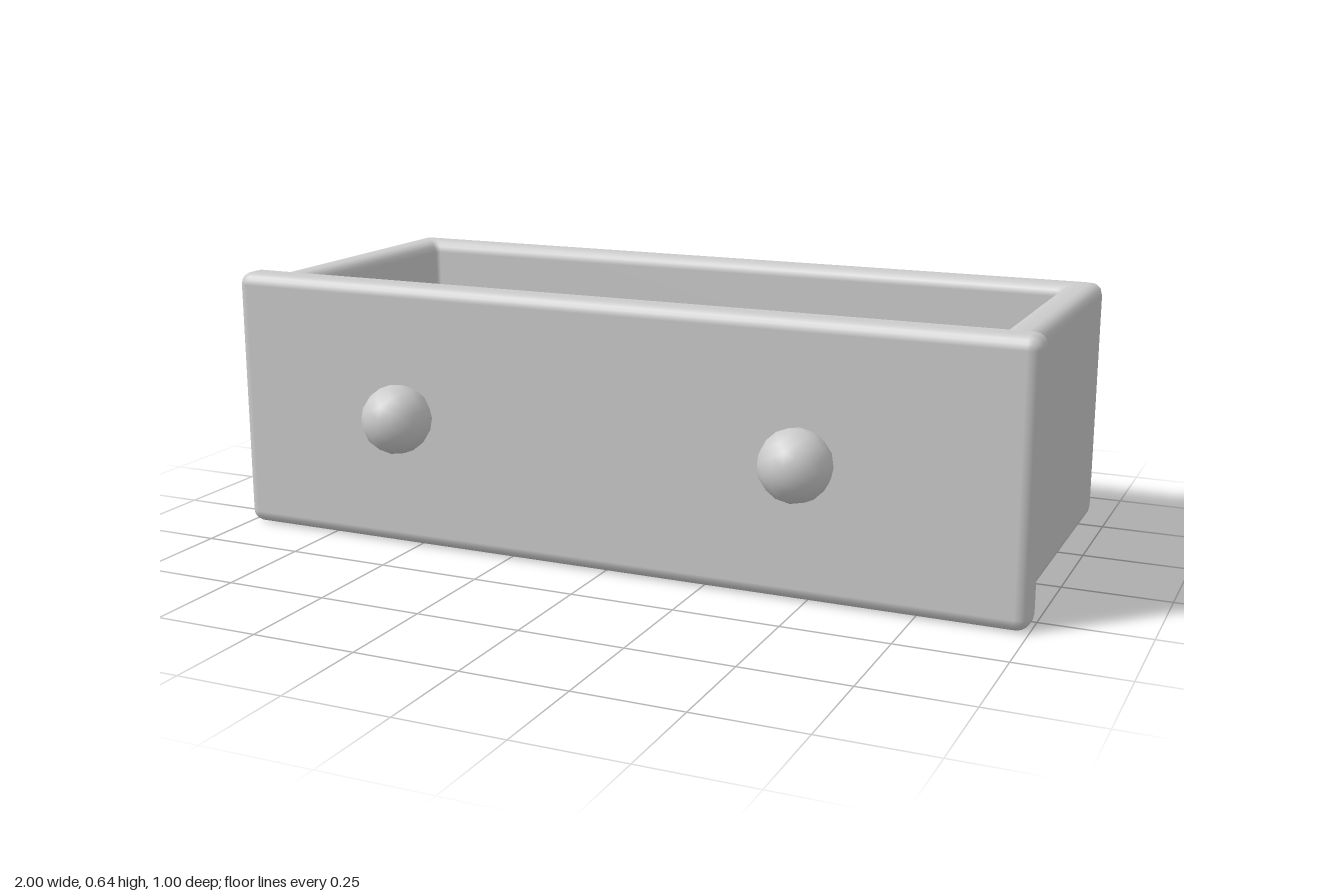
import * as THREE from 'three';
import { RoundedBoxGeometry } from 'three/addons/geometries/RoundedBoxGeometry.js';

const HALF_W = 0.97, BACK = -0.5, FRONT = 0.29;   // tray outline, its open end buried in the front panel
const WALL = 0.09, BEVEL = 0.03, BOTTOM = 0.03, TOP = 0.627, FLOOR = 0.12;

// U-shaped outline (right wall, back, left wall) inset from the tray's outer faces
function uLoop(inset, y) {
  const r = Math.max(BEVEL - inset, 0.012), n = 3, right = [];
  const cx = HALF_W - inset - r, cz = BACK + inset + r;
  right.push([HALF_W - inset, y, FRONT]);
  for (let i = 0; i <= n; i++) {
    const a = (i / n) * Math.PI / 2;
    right.push([cx + r * Math.cos(a), y, cz - r * Math.sin(a)]);
  }
  const left = right.map(([x, h, z]) => [-x, h, z]).reverse();
  return [...right, ...left];
}

// Joins successive loops into a skin with smooth normals
function skin(loops) {
  const n = loops[0].length, index = [];
  for (let j = 0; j < loops.length - 1; j++) {
    for (let i = 0; i < n - 1; i++) {
      const a = j * n + i, b = a + 1, c = a + n, d = c + 1;
      index.push(a, b, c, b, d, c);
    }
  }
  const g = new THREE.BufferGeometry();
  g.setAttribute('position', new THREE.Float32BufferAttribute(loops.flat(2), 3));
  g.setIndex(index);
  g.computeVertexNormals();
  return g;
}

export function createModel() {
  const group = new THREE.Group();
  const material = new THREE.MeshStandardMaterial({ color: 0xcccccc });
  const add = (name, geometry, x = 0, y = 0, z = 0) => {
    const mesh = new THREE.Mesh(geometry, material);
    mesh.name = name;
    mesh.position.set(x, y, z);
    group.add(mesh);
  };
  const centre = (y) => uLoop(0, y).map(() => [0, y, FRONT]);

  // Tray walls: underside, outer face, rounded rim, inner face
  const profile = [];
  const arc = (inset, y, from) => {
    for (let i = 0; i <= 3; i++) {
      const a = from - (i / 3) * Math.PI / 2;
      profile.push([inset + BEVEL * Math.cos(a), y + BEVEL * Math.sin(a)]);
    }
  };
  arc(BEVEL, BOTTOM + BEVEL, Math.PI * 1.5);
  arc(BEVEL, TOP - BEVEL, Math.PI);
  arc(WALL - BEVEL, TOP - BEVEL, Math.PI / 2);
  profile.push([WALL, FLOOR]);
  add('trayWalls', skin([centre(BOTTOM), ...profile.map(([i, y]) => uLoop(i, y))]));

  // Inside floor
  add('trayFloor', skin([uLoop(WALL, FLOOR), centre(FLOOR)]));

  // Front panel, overhanging the tray on all sides
  add('frontPanel', new RoundedBoxGeometry(2, 0.643, 0.092, 2, 0.03), 0, 0.3215, 0.296);

  // Pair of round knobs
  for (const side of [1, -1]) {
    add(side > 0 ? 'leftKnob' : 'rightKnob', new THREE.IcosahedronGeometry(0.083, 2), side * 0.5, 0.337, 0.417);
  }
  return group;
}
